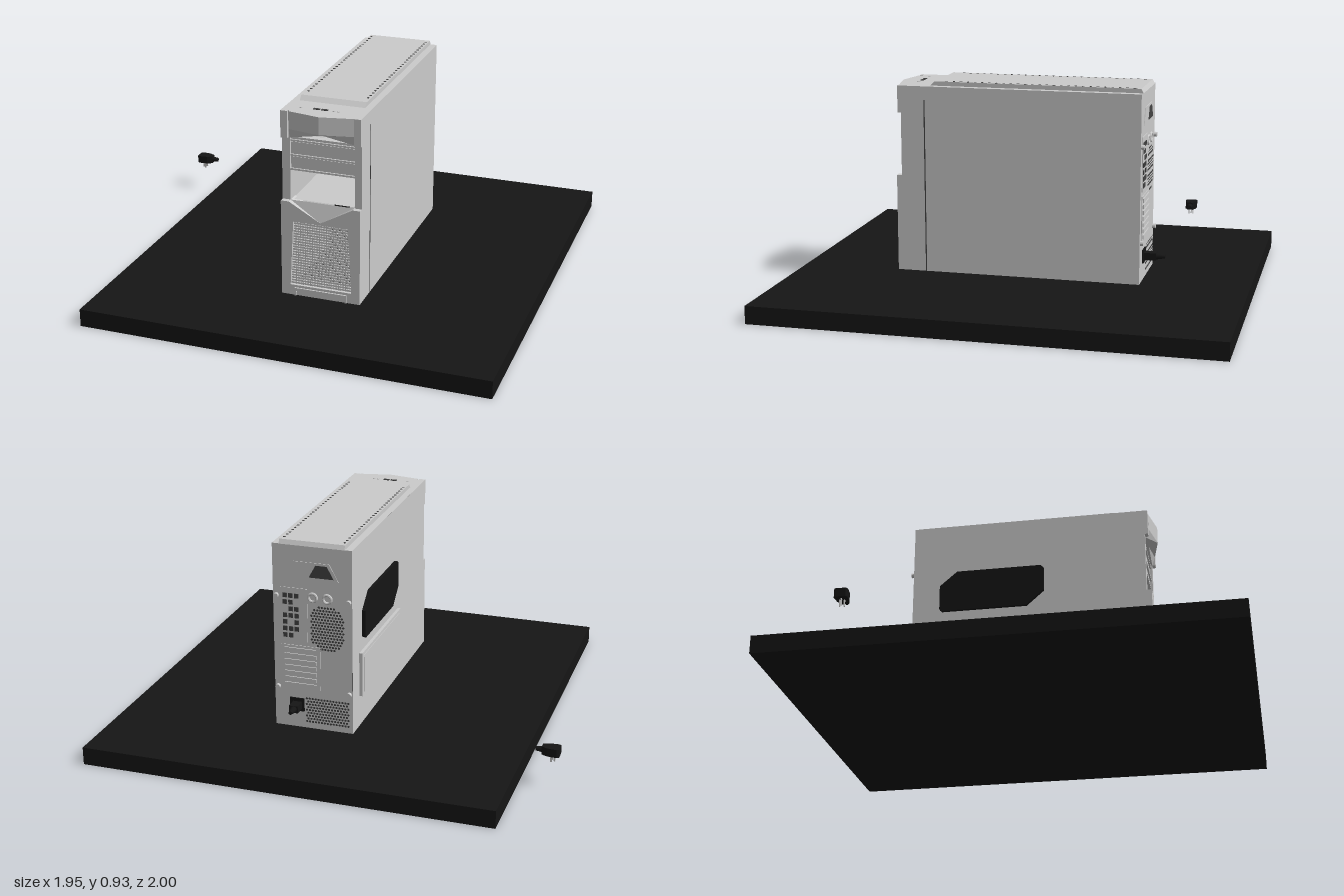
import * as THREE from 'three';
import { mergeGeometries } from 'three/addons/utils/BufferGeometryUtils.js';

const grey = new THREE.MeshStandardMaterial({ color: 0xcccccc, flatShading: true });
const thinGrey = new THREE.MeshStandardMaterial({ color: 0xcccccc, side: THREE.DoubleSide, flatShading: true });
const black = new THREE.MeshStandardMaterial({ color: 0x151515 });
const dark = new THREE.MeshStandardMaterial({ color: 0x444444 });

const boxGeo = (x0, x1, y0, y1, z0, z1, sx = 1, sy = 1) =>
  new THREE.BoxGeometry(x1 - x0, y1 - y0, z1 - z0, sx, sy, 1)
    .translate((x0 + x1) / 2, (y0 + y1) / 2, (z0 + z1) / 2);
const shapeOf = pts => new THREE.Shape(pts.map(p => new THREE.Vector2(...p)));
const extrude = (shape, depth) => new THREE.ExtrudeGeometry(shape, { depth, bevelEnabled: false });

export function createModel() {
  const model = new THREE.Group();
  const add = (name, geo, mat = grey) => {
    const mesh = new THREE.Mesh(Array.isArray(geo) ? mergeGeometries(geo) : geo, mat);
    mesh.name = name;
    model.add(mesh);
    return mesh;
  };
  const box = (name, dims, mat) => add(name, boxGeo(...dims), mat);
  const L = -0.07, R = 0.283, MID = 0.107, BASE = 0.078, TOP = 0.91, BACK = -0.527;

  box('floorSlab', [-0.815, 0.975, 0, BASE, -1, 1], black);

  // Sheet metal shell: outward-facing panels, open at the front
  const w = R - L, h = TOP - BASE, d = 0.5 - BACK, cy = (TOP + BASE) / 2, cz = (0.5 + BACK) / 2;
  add('caseShell', [
    new THREE.PlaneGeometry(w, h).rotateY(Math.PI).translate(MID, cy, BACK),
    new THREE.PlaneGeometry(d, h).rotateY(Math.PI / 2).translate(R, cy, cz),
    new THREE.PlaneGeometry(d, h).rotateY(-Math.PI / 2).translate(L, cy, cz),
    new THREE.PlaneGeometry(w, d).rotateX(-Math.PI / 2).translate(MID, TOP, cz),
    new THREE.PlaneGeometry(w, d).rotateX(Math.PI / 2).translate(MID, BASE + 0.001, cz),
  ]);
  box('sidePanelSeam', [R - 0.002, R + 0.001, BASE, 0.85, 0.432, 0.437], dark);

  // Raised top cover with a sloping front end
  const cover = extrude(shapeOf([[-0.53, TOP], [0.415, TOP], [0.395, 0.929], [-0.52, 0.929]]), 0.29)
    .rotateY(-Math.PI / 2).translate(0.252, 0, 0);
  add('topCover', cover);
  const studs = [];
  for (const x of [-0.026, 0.24])
    for (let i = 0; i < 27; i++)
      studs.push(new THREE.CylinderGeometry(0.006, 0.006, 0.002, 8).translate(x, 0.929, -0.49 + i * 0.032));
  add('topCoverHoles', studs, dark);

  // Front corner posts, bezel cap with a pointed prow, and its controls
  for (const [x0, x1] of [[L, -0.034], [0.252, R]])
    box('frontPost', [x0, x1, BASE, TOP, 0.49, 0.542]);
  const cap = boxGeo(-0.034, 0.252, 0.79, TOP, 0.42, 0.555, 2, 2);
  const p = cap.attributes.position;
  for (let i = 0; i < p.count; i++) {
    if (p.getZ(i) < 0.5) continue;
    const centre = Math.abs(p.getX(i) - 0.109) < 0.02, low = p.getY(i) < 0.8;
    if (low) p.setXYZ(i, p.getX(i), centre ? 0.815 : 0.79, 0.543);
    else p.setZ(i, centre ? 0.585 : 0.557);
    if (!low && p.getY(i) < 0.87) p.setY(i, 0.832);
  }
  add('bezelCap', cap);
  for (const x of [L, R - 0.03])
    box('capCorner', [x, x + 0.03, 0.79, TOP, 0.53, 0.557]);
  for (const x of [0.07, 0.105])
    box('topPort', [x - 0.015, x + 0.013, TOP, TOP + 0.003, 0.49, 0.503], dark);
  for (const x of [0.0, 0.145, 0.165])
    add('topButton', new THREE.CylinderGeometry(0.006, 0.006, 0.005, 10).translate(x, TOP, 0.497));

  // Drive bay covers above an open bay, with inner cage walls
  for (const [y0, y1] of [[0.643, 0.702], [0.706, 0.768], [0.772, 0.79]]) {
    box('bayCover', [-0.034, 0.252, y0, y1, 0.5, 0.53]);
    box('bayCoverBar', [-0.034, 0.252, y0, y0 + 0.008, 0.53, 0.537]);
  }
  for (const x of [-0.034, 0.252])
    add('cageWall', new THREE.PlaneGeometry(0.45, 0.69).rotateY(Math.PI / 2).translate(x, 0.445, 0.3), thinGrey);
  for (const y of [0.505, 0.643])
    add('cageShelf', new THREE.PlaneGeometry(0.286, 0.4).rotateX(-Math.PI / 2).translate(MID, y, 0.32), thinGrey);

  // Lower bezel with a V notch and a tapered intake opening
  const lower = shapeOf([[L, BASE], [R, BASE], [R, 0.51], [0.25, 0.51], [MID, 0.43], [-0.034, 0.51], [L, 0.51]]);
  lower.holes.push(new THREE.Path([[-0.03, 0.125], [-0.015, 0.42], [0.23, 0.42], [0.245, 0.125]]
    .map(q => new THREE.Vector2(...q))));
  add('lowerBezel', extrude(lower, 0.075).translate(0, 0, 0.49));
  const shield = new THREE.BufferGeometry();
  shield.setAttribute('position', new THREE.Float32BufferAttribute(
    [MID, 0.43, 0.565, 0.25, 0.51, 0.542, -0.034, 0.51, 0.542], 3));
  shield.computeVertexNormals();
  add('shieldFacet', shield, thinGrey);
  const bars = [];
  for (let i = 0; i < 25; i++) {
    const y = 0.127 + i * 0.0121, t = (y - 0.125) / 0.295 * 0.015;
    bars.push(boxGeo(-0.03 + t, 0.245 - t, y, y + 0.008, 0.548, 0.554));
  }
  for (let i = 1; i < 24; i++) {
    const x = -0.02 + i * 0.0106;
    bars.push(boxGeo(x, x + 0.0035, 0.125, 0.42, 0.548, 0.553));
  }
  add('intakeGrille', bars);
  box('footBar', [-0.01, 0.225, 0.1, 0.114, 0.565, 0.572]);
  for (const x of [-0.01, 0.217]) box('footBarEnd', [x, x + 0.008, BASE, 0.1, 0.565, 0.572]);

  // Chamfered side window and the raised panel under it
  const win = shapeOf([[-0.39, 0.475], [0.0, 0.475], [0.08, 0.545], [0.08, 0.655],
    [0.065, 0.668], [-0.32, 0.668], [-0.4, 0.6], [-0.4, 0.485]]);
  add('sideWindow', extrude(win, 0.015).rotateY(-Math.PI / 2).translate(L, 0, 0), black);
  box('sideDuctPanel', [L - 0.014, L, 0.22, 0.42, -0.44, 0.12]);
  box('sideDuctInset', [L - 0.016, L - 0.014, 0.235, 0.405, -0.42, 0.1]);

  // Rear: top vent, hose grommets and port panel
  add('rearTopVent', extrude(shapeOf([[-0.01, 0.765], [0.22, 0.765], [0.19, 0.84], [0.03, 0.84]]), 0.004)
    .translate(0, 0, BACK - 0.003));
  add('rearTopVentOpening', extrude(shapeOf([[0.01, 0.775], [0.12, 0.775], [0.09, 0.83], [0.04, 0.83]]), 0.004)
    .translate(0, 0, BACK - 0.005), dark);
  for (const x of [0.04, 0.105])
    add('hoseGrommet', new THREE.TorusGeometry(0.018, 0.006, 8, 20).translate(x, 0.685, BACK - 0.002));
  box('portPanel', [0.13, 0.25, 0.48, 0.72, BACK - 0.003, BACK + 0.003]);
  const ports = [];
  for (let r = 0; r < 7; r++)
    for (let c = 0; c < 3; c++)
      if ((r * 2 + c) % 5) ports.push(boxGeo(0.168 + c * 0.026, 0.187 + c * 0.026,
        0.495 + r * 0.03, 0.515 + r * 0.03, BACK - 0.006, BACK + 0.008));
  add('rearPorts', ports, dark);

  // Rear perforations for the fan and the power supply
  const perforate = (name, x0, x1, y0, y1, keep) => {
    const holes = [], s = 0.0135;
    for (let r = 0; y0 + r * s < y1; r++)
      for (let x = x0 + (r % 2) * s / 2; x < x1; x += s)
        if (keep(x, y0 + r * s)) holes.push(new THREE.CircleGeometry(0.0055, 6)
          .rotateY(Math.PI).translate(x, y0 + r * s, BACK - 0.002));
    add(name, holes, dark);
  };
  perforate('fanVent', -0.03, 0.115, 0.455, 0.65,
    (x, y) => Math.abs(x - 0.042) / 0.13 + Math.abs(y - 0.552) / 0.14 < 1);
  perforate('powerSupplyVent', -0.05, 0.145, 0.11, 0.22, () => true);

  // Expansion slots and thumb screws
  box('slotFrame', [0.075, 0.25, 0.26, 0.46, BACK - 0.003, BACK]);
  for (let i = 0; i < 7; i++)
    box('slotCover', [0.09, 0.235, 0.27 + i * 0.027, 0.287 + i * 0.027, BACK - 0.008, BACK - 0.003]);
  for (const x of [L + 0.015, R - 0.015])
    for (const y of [0.26, 0.68])
      add('thumbScrew', new THREE.CylinderGeometry(0.011, 0.011, 0.014, 12)
        .rotateX(Math.PI / 2).translate(x, y, BACK - 0.007));

  // Power inlet with its connector
  box('powerInlet', [0.15, 0.215, 0.155, 0.215, BACK - 0.006, BACK], black);
  box('connectorBody', [0.16, 0.2, 0.168, 0.2, -0.585, BACK - 0.006], black);
  add('connectorBoot', new THREE.CylinderGeometry(0.008, 0.016, 0.04, 12)
    .rotateX(-Math.PI / 2).translate(0.18, 0.184, -0.603), black);

  // Loose wall plug with downward pins
  const plug = extrude(shapeOf([[-0.98, 0.558], [-0.97, 0.552], [-0.93, 0.555], [-0.905, 0.567],
    [-0.905, 0.593], [-0.93, 0.605], [-0.97, 0.608], [-0.98, 0.602]]), 0.036)
    .rotateX(-Math.PI / 2).translate(0, 0.142, 0);
  add('plugBody', plug, black);
  add('plugBoot', new THREE.CylinderGeometry(0.009, 0.013, 0.027, 12)
    .rotateZ(-Math.PI / 2).translate(-0.892, 0.16, -0.58), black);
  for (const [x, z] of [[-0.945, -0.571], [-0.945, -0.59], [-0.957, -0.58]])
    box('plugPin', [x - 0.004, x + 0.004, 0.113, 0.143, z - 0.002, z + 0.002], thinGrey);

  return model;
}
